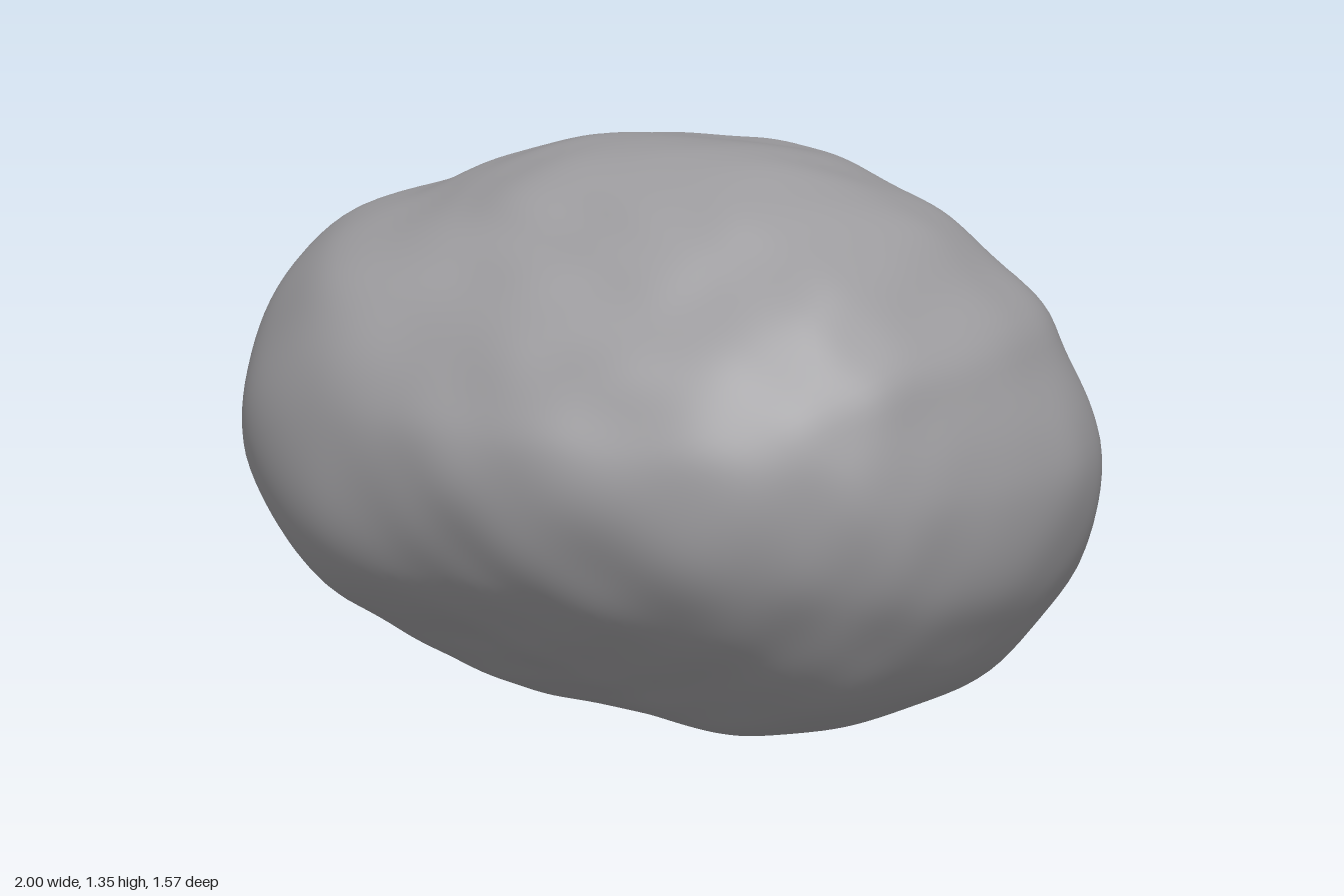
import * as THREE from 'three';
import { mergeVertices } from 'three/addons/utils/BufferGeometryUtils.js';

const CY = 0.67; // height of the rock's centre

// Outlines around the rock in three planes
const outlineXY = [[1, .65], [.97, .42], [.9, .3], [.8, .19], [.65, .1], [.52, .05], [.2, 0], [0, .03], [-.25, .025],
  [-.48, .11], [-.65, .21], [-.76, .26], [-.9, .4], [-.98, .55], [-1, .7], [-.98, .83], [-.9, 1], [-.8, 1.1],
  [-.6, 1.17], [-.45, 1.24], [-.3, 1.3], [0, 1.345], [.25, 1.35], [.4, 1.3], [.62, 1.21], [.75, 1.1], [.87, 1],
  [.91, .9], [.97, .77]];
const outlineZY = [[.785, .68], [.77, .8], [.7, .9], [.6, 1.03], [.4, 1.19], [.2, 1.31], [.08, 1.35], [-.03, 1.35],
  [-.2, 1.3], [-.33, 1.275], [-.47, 1.2], [-.55, 1.1], [-.65, .95], [-.75, .8], [-.785, .62], [-.78, .5], [-.73, .3],
  [-.65, .21], [-.5, .15], [-.35, .09], [-.2, .03], [-.08, 0], [.1, .025], [.25, .05], [.35, .09], [.5, .21],
  [.65, .37], [.73, .5]];
const outlineXZ = [[1, -.05], [.98, -.22], [.87, -.36], [.75, -.5], [.6, -.64], [.45, -.74], [.27, -.785], [0, -.77],
  [-.2, -.755], [-.45, -.715], [-.6, -.64], [-.8, -.48], [-.9, -.27], [-.98, -.08], [-1, .1], [-.97, .27],
  [-.85, .46], [-.65, .61], [-.4, .69], [-.1, .76], [.08, .78], [.37, .75], [.55, .66], [.78, .49], [.9, .27], [.97, .1]];

// Returns a function: ratio of an outline's radius to that of its ellipse, at direction (u, v)
function outlineRatio(points, a, b, v0) {
  const curve = new THREE.CatmullRomCurve3(points.map(([u, v]) => new THREE.Vector3(u, v - v0, 0)), true);
  const table = curve.getPoints(360).slice(0, -1)
    .map(p => [Math.atan2(p.y, p.x), Math.hypot(p.x / a, p.y / b)])
    .sort((p, q) => p[0] - q[0]);
  const first = table[0], last = table[table.length - 1];
  table.unshift([last[0] - 2 * Math.PI, last[1]]);
  table.push([first[0] + 2 * Math.PI, first[1]]);
  return (u, v) => {
    const angle = Math.atan2(v, u);
    const i = Math.max(1, table.findIndex(e => e[0] >= angle));
    const [a0, r0] = table[i - 1], [a1, r1] = table[i];
    return r0 + (r1 - r0) * (angle - a0) / (a1 - a0 || 1);
  };
}

// Broad worn facets: normal and distance from the centre
const facets = [
  [.335, .59, -.725, .7],
  [-.12, -.8, .55, .655],
  [-.67, -.72, .07, .74],
  [.42, -.68, -.55, .75],
].map(([x, y, z, d]) => ({ n: new THREE.Vector3(x, y, z).normalize(), d }));

// Local dents and lumps: direction, height, tightness
const bumps = [
  [.72, .28, -.5, -.02, 25], [.82, .08, -.42, -.022, 45], [.66, .03, -.62, .022, 45],
  [.25, -.4, .85, -.015, 35], [-.2, -.35, .9, -.012, 35], [.6, .1, .7, .015, 25],
  [-.8, -.3, .5, .02, 25], [.35, -.85, .25, .02, 25],
].map(([x, y, z, h, k]) => ({ c: new THREE.Vector3(x, y, z).normalize(), h, k }));

function smoothMin(a, b, k) {
  const h = Math.max(k - Math.abs(a - b), 0) / k;
  return Math.min(a, b) - h * h * k / 4;
}

// Gentle surface unevenness
function ripple(d) {
  return .007 * Math.sin(7 * d.x + 3 * d.y + 1) * Math.sin(8 * d.y - 2 * d.z + 2) * Math.sin(7 * d.z + 2 * d.x)
    + .004 * Math.sin(14 * d.x + 2 * Math.sin(6 * d.z)) * Math.sin(15 * d.y + 1) * Math.sin(13 * d.z + 2);
}

function rockGeometry() {
  const [a, b, c] = [1, .675, .785];
  const ratioXY = outlineRatio(outlineXY, a, b, CY);
  const ratioZY = outlineRatio(outlineZY, c, b, CY);
  const ratioXZ = outlineRatio(outlineXZ, a, c, 0);

  const sphere = new THREE.IcosahedronGeometry(1, 36);
  sphere.deleteAttribute('normal');
  sphere.deleteAttribute('uv');
  const geo = mergeVertices(sphere, 1e-5);
  const pos = geo.attributes.position;
  const d = new THREE.Vector3();
  for (let i = 0; i < pos.count; i++) {
    d.fromBufferAttribute(pos, i).normalize();
    // Blend the outlines, each strongest near its own plane
    const w = [d.z, d.x, d.y].map(t => Math.pow(1 - t * t, 4) + 1e-6);
    const ratio = (w[0] * ratioXY(d.x, d.y) + w[1] * ratioZY(d.z, d.y) + w[2] * ratioXZ(d.x, d.z)) / (w[0] + w[1] + w[2]);
    let r = ratio / Math.hypot(d.x / a, d.y / b, d.z / c);
    for (const f of facets) {
      const cos = f.n.dot(d);
      if (cos > .2) r = smoothMin(r, f.d / cos, .08);
    }
    for (const m of bumps) r += m.h * Math.exp(-m.k * (1 - m.c.dot(d)));
    r += ripple(d);
    pos.setXYZ(i, d.x * r, d.y * r, d.z * r);
  }

  // Centre the rock and rest it on the ground
  geo.computeBoundingBox();
  const mid = geo.boundingBox.getCenter(new THREE.Vector3());
  geo.translate(-mid.x, -geo.boundingBox.min.y, -mid.z);
  geo.computeVertexNormals();
  return geo;
}

export function createModel() {
  const group = new THREE.Group();
  group.name = 'boulder';
  const stone = new THREE.MeshStandardMaterial({ color: 0x9b9a9d });
  stone.name = 'grey stone';
  const rock = new THREE.Mesh(rockGeometry(), stone);
  rock.name = 'rock';
  group.add(rock);
  return group;
}
